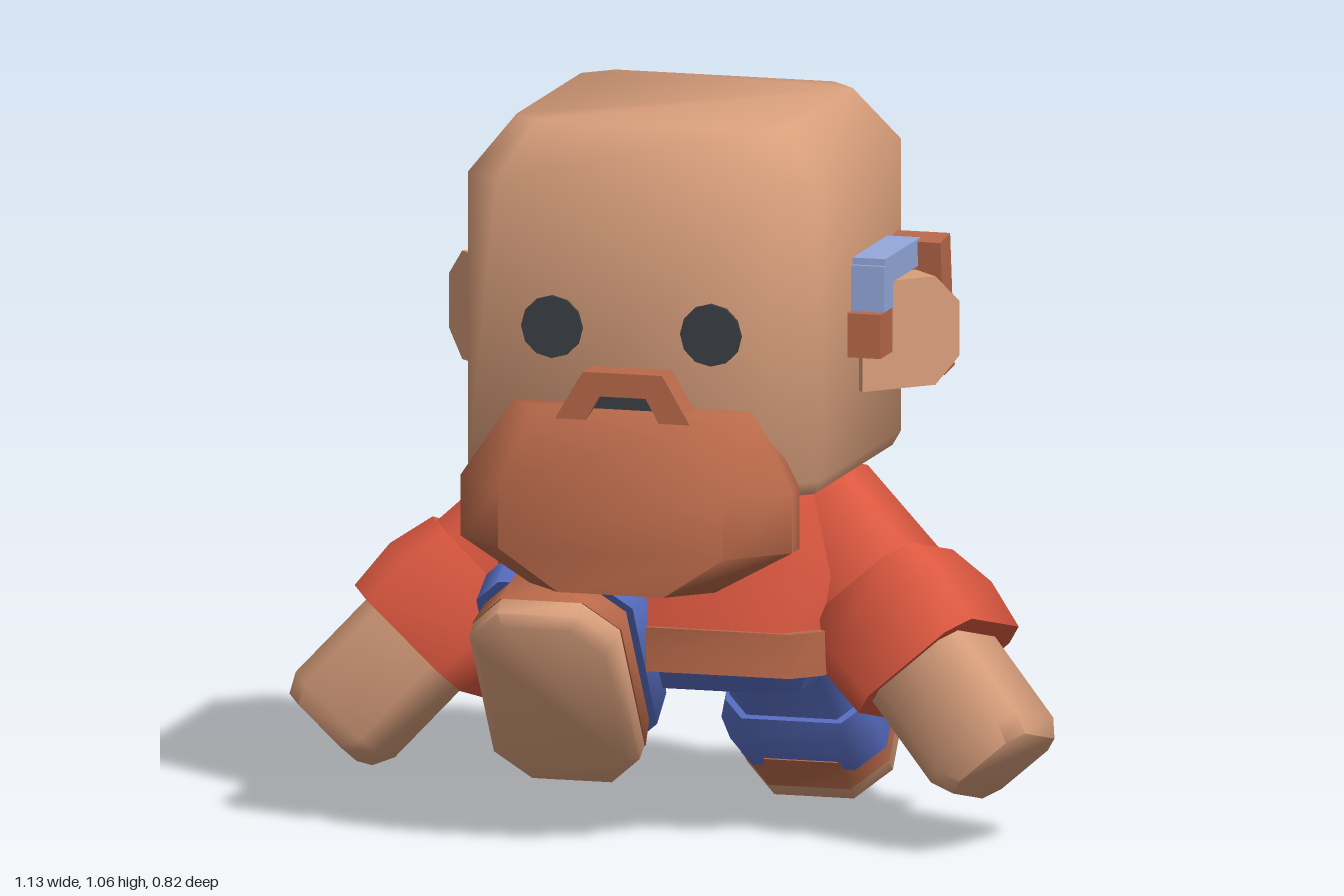
import * as THREE from 'three';
import { toCreasedNormals } from 'three/addons/utils/BufferGeometryUtils.js';

const material = (name, color) => Object.assign(new THREE.MeshStandardMaterial({ color }), { name });

// Solid of stacked chamfered rectangles; ring = [y, half x, half z, chamfer, z centre]
function loft(rings) {
  const pos = [], idx = [];
  for (const [y, hx, hz, c, cz = 0] of rings) {
    const a = hx - c, b = hz - c;
    for (const [x, z] of [[hx, -b], [hx, b], [a, hz], [-a, hz], [-hx, b], [-hx, -b], [-a, -hz], [a, -hz]]) {
      pos.push(x, y, z + cz);
    }
  }
  for (let i = 0; i < rings.length - 1; i++) {
    for (let j = 0; j < 8; j++) {
      const a = i * 8 + j, b = i * 8 + (j + 1) % 8;
      idx.push(a, a + 8, b, b, a + 8, b + 8);
    }
  }
  const top = (rings.length - 1) * 8;
  for (let j = 1; j < 7; j++) idx.push(0, j, j + 1, top, top + j + 1, top + j);
  const g = new THREE.BufferGeometry();
  g.setAttribute('position', new THREE.Float32BufferAttribute(pos, 3));
  g.setIndex(idx);
  return toCreasedNormals(g, Math.PI / 3);
}

export function createModel() {
  const skin = material('skin', 0xd99f7c);
  const brown = material('brown', 0xb9694a);
  const red = material('shirt red', 0xdc5840);
  const blue = material('trouser blue', 0x5a70c6);
  const paleBlue = material('pale blue', 0x93a8dc);
  const dark = material('dark', 0x3b4046);
  const model = new THREE.Group();
  model.name = 'figure';

  const add = (name, geometry, mat, parent = model) => {
    const mesh = new THREE.Mesh(geometry, mat);
    mesh.name = name;
    parent.add(mesh);
    return mesh;
  };
  const box = (name, mat, w, h, d, x, y, z) => {
    const mesh = add(name, new THREE.BoxGeometry(w, h, d), mat);
    mesh.position.set(x, y, z);
    return mesh;
  };

  // Head
  add('head', loft([
    [0.70, 0.255, 0.26, 0.06], [0.72, 0.265, 0.27, 0.06],
    [1.15, 0.265, 0.27, 0.06], [1.23, 0.205, 0.205, 0.04],
  ]), skin);

  // Beard, moustache and mouth
  add('beard', loft([
    [0.57, 0.14, 0.10, 0.06, 0.28], [0.63, 0.25, 0.10, 0.08, 0.28],
    [0.72, 0.25, 0.10, 0.08, 0.28], [0.83, 0.18, 0.06, 0.04, 0.25],
  ]), brown);
  const arch = new THREE.Shape([[-0.11, 0.80], [0.11, 0.80], [0.06, 0.885], [-0.06, 0.885]]
    .map(p => new THREE.Vector2(...p)));
  arch.holes.push(new THREE.Path([[-0.06, 0.805], [-0.035, 0.85], [0.035, 0.85], [0.06, 0.805]]
    .map(p => new THREE.Vector2(...p))));
  add('moustache', new THREE.ExtrudeGeometry(arch, { depth: 0.07, bevelEnabled: false }), brown).position.z = 0.25;
  box('mouth', dark, 0.11, 0.045, 0.008, 0, 0.825, 0.305);

  // Eyes and ears
  const earShape = new THREE.Shape([[0, -0.08], [0.12, -0.08], [0.16, -0.04], [0.16, 0.04], [0.12, 0.08], [0, 0.08]]
    .map(p => new THREE.Vector2(...p)));
  for (const s of [1, -1]) {
    const eye = add('eye', new THREE.CylinderGeometry(0.046, 0.046, 0.008, 12), dark);
    eye.rotation.x = Math.PI / 2;
    eye.position.set(s * 0.12, 0.94, 0.272);
    const side = new THREE.Group();
    side.name = 'ear';
    side.scale.x = s;
    model.add(side);
    const ear = add('earFlap', new THREE.ExtrudeGeometry(earShape, { depth: 0.06, bevelEnabled: false }), skin, side);
    ear.position.set(0.23, 0.897, -0.03);
    ear.rotation.y = Math.PI / 4;
  }

  // Band hooked over the left ear
  box('earBandTop', paleBlue, 0.05, 0.04, 0.18, 0.29, 1.0, -0.05);
  box('earBandFront', paleBlue, 0.05, 0.07, 0.045, 0.29, 0.975, 0.025);
  box('earBandTip', brown, 0.06, 0.065, 0.06, 0.285, 0.91, 0.035);
  box('earBandBack', brown, 0.08, 0.20, 0.05, 0.31, 0.92, -0.16).rotation.x = 0.12;

  // Torso, belt and seat
  add('torso', loft([
    [0.44, 0.24, 0.20, 0.05, -0.03], [0.56, 0.25, 0.19, 0.05, -0.03], [0.72, 0.20, 0.16, 0.05, -0.03],
  ]), red);
  add('belt', loft([[0.42, 0.25, 0.22, 0.04, -0.045], [0.485, 0.25, 0.22, 0.04, -0.045]]), brown);
  add('seat', loft([[0.38, 0.19, 0.12, 0.04, -0.03], [0.44, 0.22, 0.16, 0.04, -0.03]]), blue);

  // Arms, each hanging along local -y from the shoulder
  for (const s of [1, -1]) {
    const arm = new THREE.Group();
    arm.name = s > 0 ? 'leftArm' : 'rightArm';
    arm.position.set(s * 0.20, 0.63, -0.02);
    arm.quaternion.setFromUnitVectors(new THREE.Vector3(0, -1, 0), new THREE.Vector3(s * 0.31, -0.34, 0.11).normalize());
    model.add(arm);
    add('sleeve', loft([[-0.2, 0.095, 0.11, 0.03, -0.01], [0.03, 0.08, 0.10, 0.04, -0.01]]), red, arm);
    add('cuff', loft([
      [-0.29, 0.11, 0.13, 0.035, -0.02], [-0.21, 0.115, 0.135, 0.035, -0.02], [-0.14, 0.10, 0.12, 0.035, -0.02],
    ]), red, arm);
    add('hand', loft([
      [-0.47, 0.07, 0.085, 0.025], [-0.44, 0.083, 0.1, 0.025], [-0.22, 0.083, 0.1, 0.025],
    ]), skin, arm);
  }

  // Legs, each along local -y from the hip to the sole
  const leg = (name, x, y, z, length, turn) => {
    const g = new THREE.Group();
    g.name = name;
    g.position.set(x, y, z);
    g.rotation.x = turn;
    model.add(g);
    add('trouserLeg', loft([[-length + 0.15, 0.1, 0.13, 0.03], [0, 0.09, 0.09, 0.03]]), blue, g);
    add('trouserCuff', loft([
      [-length + 0.09, 0.118, 0.155, 0.04], [-length + 0.15, 0.118, 0.15, 0.04], [-length + 0.19, 0.105, 0.13, 0.03],
    ]), blue, g);
    add('shoe', loft([[-length + 0.045, 0.112, 0.165, 0.05], [-length + 0.11, 0.105, 0.155, 0.05]]), brown, g);
    add('sole', loft([
      [-length, 0.095, 0.15, 0.045], [-length + 0.015, 0.11, 0.165, 0.05], [-length + 0.045, 0.11, 0.165, 0.05],
    ]), skin, g);
  };
  leg('rightLeg', -0.125, 0.56, -0.02, 0.33, -0.99);
  leg('leftLeg', 0.125, 0.53, -0.03, 0.40, 0.93);

  return model;
}
